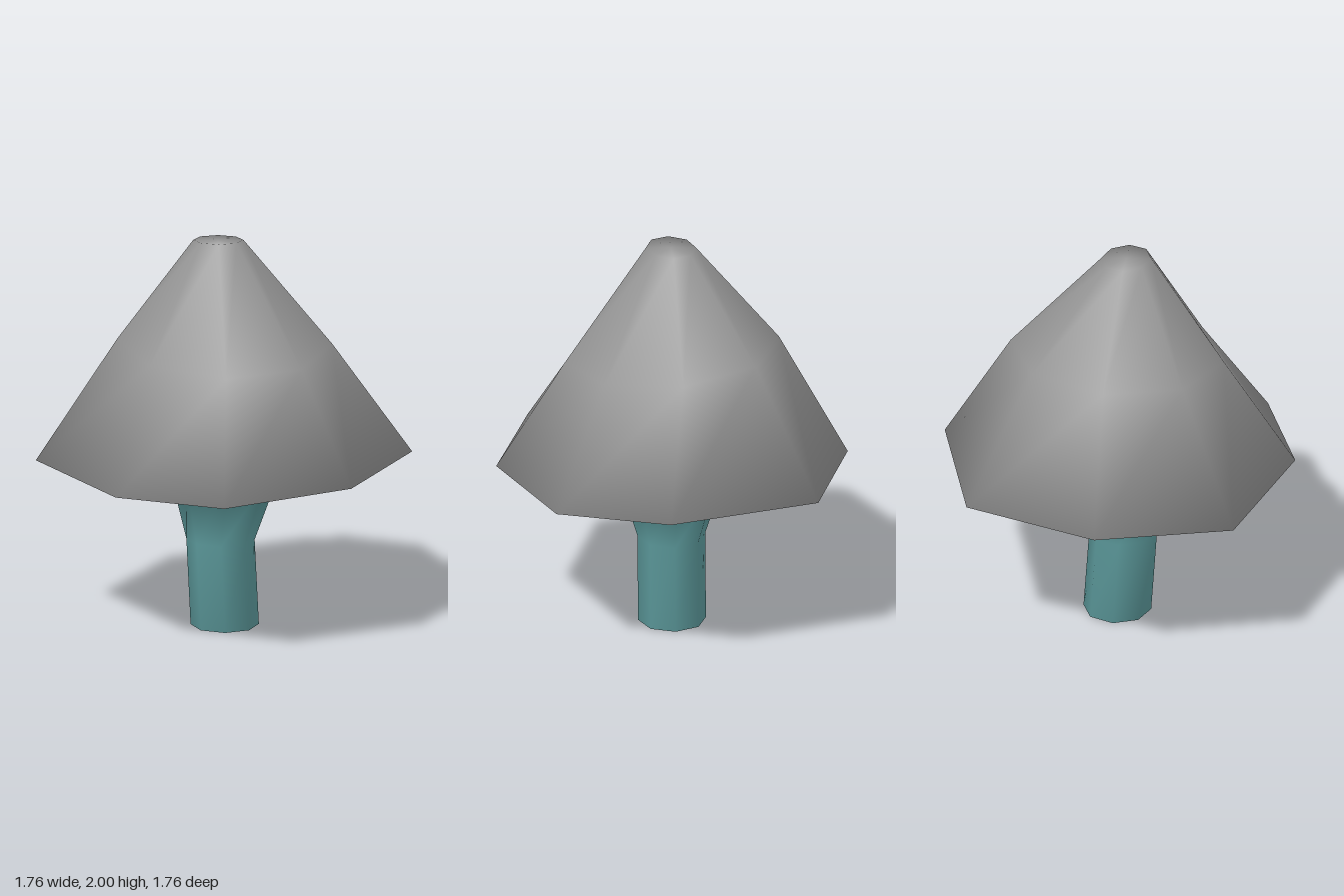
import * as THREE from 'three';

const SIDES = 8;
// rim outline, starting at the front and turning towards +x
const RIM = [[0, 0.88], [0.67, 0.65], [0.88, 0.1], [0.67, -0.66],
  [0, -0.88], [-0.67, -0.66], [-0.88, 0.1], [-0.67, 0.65]];

// slightly tilted octagon ring
function ring(r, y, cx = 0, tiltX = 0, tiltZ = 0) {
  return Array.from({ length: SIDES }, (_, i) => {
    const a = (i / SIDES) * Math.PI * 2;
    const x = Math.sin(a) * r, z = Math.cos(a) * r;
    return [x + cx, y + tiltX * x + tiltZ * z, z];
  });
}

export function createModel() {
  const group = new THREE.Group();
  group.name = 'mushroom';

  const stalkColour = new THREE.MeshStandardMaterial({ color: 0x5f9ea0 });
  stalkColour.name = 'stalk teal';
  const capColour = new THREE.MeshStandardMaterial({ color: 0x969696 });
  capColour.name = 'cap grey';

  // cross-sections from the foot to the tip
  const rings = [
    ring(0.17, 0),
    ring(0.17, 0.445, -0.03, -0.03),
    ring(0.27, 0.77),
    RIM.map(([x, z]) => [x, 0.867 + 0.025 * x, z]),
    ring(0.535, 1.46, 0, 0.045, -0.085),
    ring(0.125, 1.992, -0.045, -0.06, 0.05),
  ];
  const points = [...rings.flat(), [0, 0, 0], [-0.045, 1.992, 0]];
  const foot = rings.length * SIDES, tip = foot + 1;

  // walls between neighbouring rings, plus the end faces
  const stalkFaces = [], capFaces = [];
  for (let i = 0; i < SIDES; i++) {
    const j = (i + 1) % SIDES;
    for (let k = 0; k < rings.length - 1; k++) {
      const a = k * SIDES + i, b = k * SIDES + j;
      const c = b + SIDES, d = a + SIDES;
      (k < 2 ? stalkFaces : capFaces).push(a, b, c, a, c, d);
    }
    const last = (rings.length - 1) * SIDES;
    stalkFaces.push(foot, j, i);
    capFaces.push(tip, last + i, last + j);
  }

  // one smooth skin, so the normals flow across the joint and the rim
  const skin = new THREE.BufferGeometry();
  skin.setAttribute('position', new THREE.Float32BufferAttribute(points.flat(), 3));
  skin.setIndex([...stalkFaces, ...capFaces]);
  skin.computeVertexNormals();

  function addPart(name, faces, material) {
    const geometry = skin.clone();
    geometry.setIndex(faces);
    const mesh = new THREE.Mesh(geometry, material);
    mesh.name = name;
    group.add(mesh);
  }
  addPart('stalk', stalkFaces, stalkColour);
  addPart('cap', capFaces, capColour);

  return group;
}
